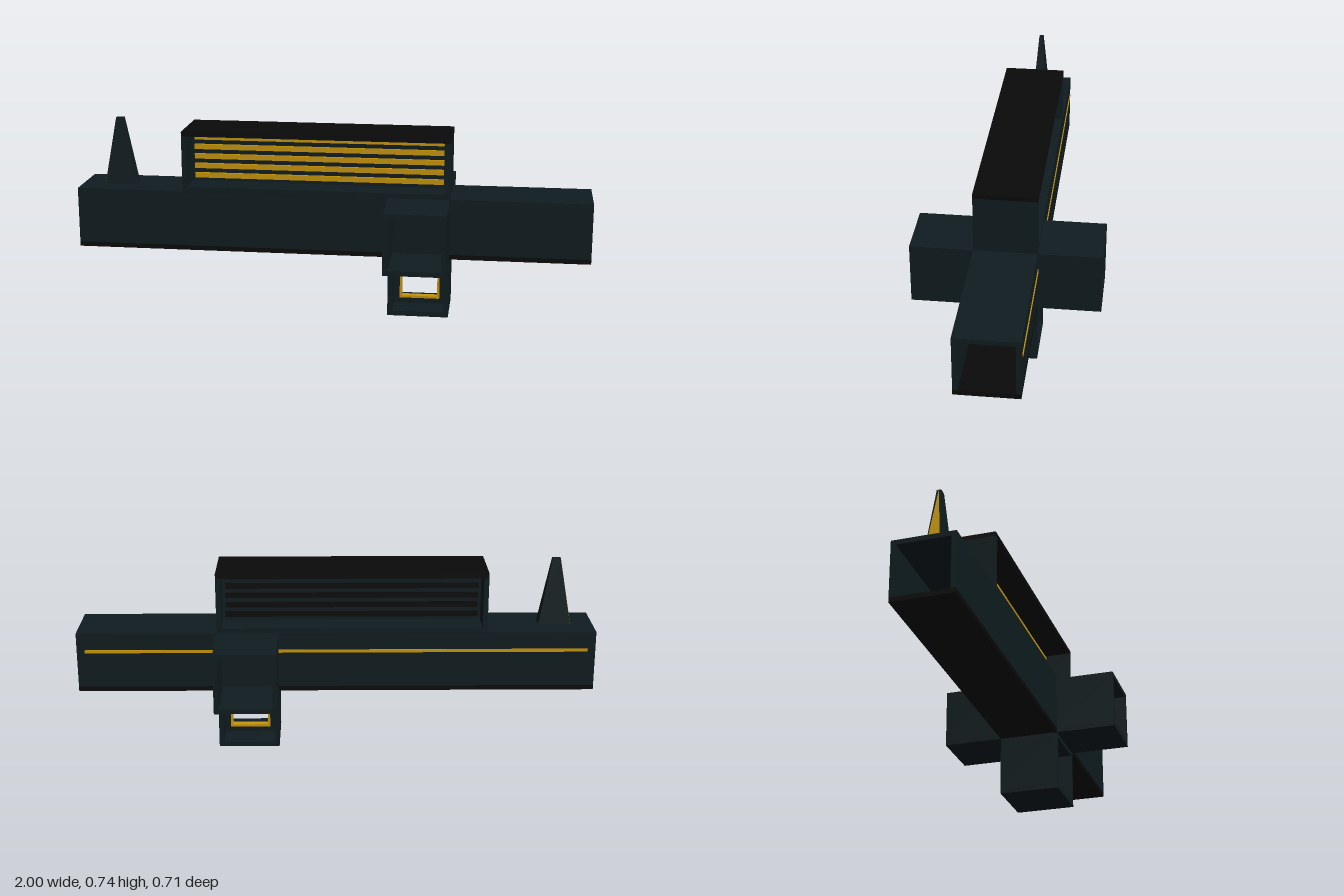
import * as THREE from 'three';

const S = 0.2365;      // module height and depth
const T = 0.0185;      // wall thickness
const CROSS_X = 0.3425; // centre of the cross arms and the lower cell

const shell = new THREE.MeshStandardMaterial({ color: 0x0f1c1f });
const black = new THREE.MeshStandardMaterial({ color: 0x0b0a0a });
const gold = new THREE.MeshStandardMaterial({ color: 0xc8960c });

function add(parent, name, geometry, material, x = 0, y = 0, z = 0) {
  const mesh = new THREE.Mesh(geometry, material);
  mesh.name = name;
  mesh.position.set(x, y, z);
  parent.add(mesh);
  return mesh;
}

const box = (parent, name, w, h, d, material, x, y, z) =>
  add(parent, name, new THREE.BoxGeometry(w, h, d), material, x, y, z);

// Square tube open along z, standing on its own y = 0
function tube(parent, name, width, depth, roofMat = shell, floorMat = shell) {
  const g = new THREE.Group();
  g.name = name;
  box(g, 'roof', width, T, depth, roofMat, 0, S - T / 2, 0);
  box(g, 'floor', width, T, depth, floorMat, 0, T / 2, 0);
  for (const s of [-1, 1]) {
    box(g, 'wall', T, S - 2 * T, depth, shell, s * (width - T) / 2, S / 2, 0);
  }
  parent.add(g);
  return g;
}

// Flat rectangular plate with a square hole, centred in z
function holedPlate(w, h, hole, thickness) {
  const rect = (path, a, b) => path.moveTo(-a, -b).lineTo(a, -b).lineTo(a, b).lineTo(-a, b).closePath();
  const shape = rect(new THREE.Shape(), w / 2, h / 2);
  shape.holes.push(rect(new THREE.Path(), hole / 2, hole / 2));
  const geometry = new THREE.ExtrudeGeometry(shape, { depth: thickness, bevelEnabled: false });
  return geometry.translate(0, 0, -thickness / 2);
}

export function createModel() {
  const model = new THREE.Group();
  model.name = 'building';

  // Long main gallery, open at both ends
  const main = tube(model, 'mainGallery', S, 2, shell, black);
  main.rotation.y = Math.PI / 2;
  main.position.y = S;

  // Front and back cross arms, open at their outer ends
  for (const s of [1, -1]) {
    const arm = tube(model, s > 0 ? 'frontArm' : 'backArm', S, S);
    arm.position.set(CROSS_X, S, s * S);
  }

  // Light strips along the back of the gallery
  for (const [a, b] of [[-0.97, 0.224], [0.461, 0.97]]) {
    box(model, 'backLightStrip', b - a, 0.012, 0.006, gold, (a + b) / 2, 0.4, -S / 2);
  }

  // Lower cell with a gold-rimmed window in its middle wall
  const lower = tube(model, 'lowerCell', S, S);
  lower.position.x = CROSS_X;
  const inner = S - 2 * T;
  add(lower, 'windowWall', holedPlate(inner, inner, 0.155, 0.02), shell, 0, S / 2, 0);
  add(lower, 'windowRim', holedPlate(0.157, 0.157, 0.139, 0.028), gold, 0, S / 2, 0);

  // Upper hall with slats on both sides of its middle wall
  const hallWidth = 1.04;
  const hall = tube(model, 'upperHall', hallWidth, S, black, shell);
  hall.position.set(-0.06, 2 * S, 0);
  box(hall, 'middleWall', hallWidth - 2 * T, inner, 0.02, shell, 0, S / 2, 0);
  for (let i = 0; i < 5; i++) {
    const y = 0.043 + i * 0.0382;
    box(hall, 'lightBar', 0.98, 0.02, 0.012, gold, 0, y, 0.014);
    box(hall, 'backSlat', 0.98, 0.02, 0.012, black, 0, y, -0.014);
  }

  // Tapered pylon: a box whose top corners are drawn in
  const H = 0.264;
  const spire = new THREE.BoxGeometry(0.124, H, 0.06).translate(0, H / 2, 0);
  const p = spire.attributes.position;
  for (let i = 0; i < p.count; i++) {
    if (p.getY(i) > H / 2) p.setXYZ(i, p.getX(i) * 0.25, H, p.getZ(i) * 0.27);
  }
  spire.computeVertexNormals();
  const pylon = add(model, 'pylon', spire, shell, -0.85, 2 * S, 0);

  // Gold triangle on the pylon's outer face
  const tri = new THREE.BufferGeometry();
  tri.setAttribute('position', new THREE.Float32BufferAttribute(
    [-0.0635, 0, -0.027, -0.0635, 0, 0.027, -0.017, H, 0], 3));
  tri.computeVertexNormals();
  const facing = gold.clone();
  facing.side = THREE.DoubleSide;
  add(pylon, 'pylonAccent', tri, facing);

  return model;
}
